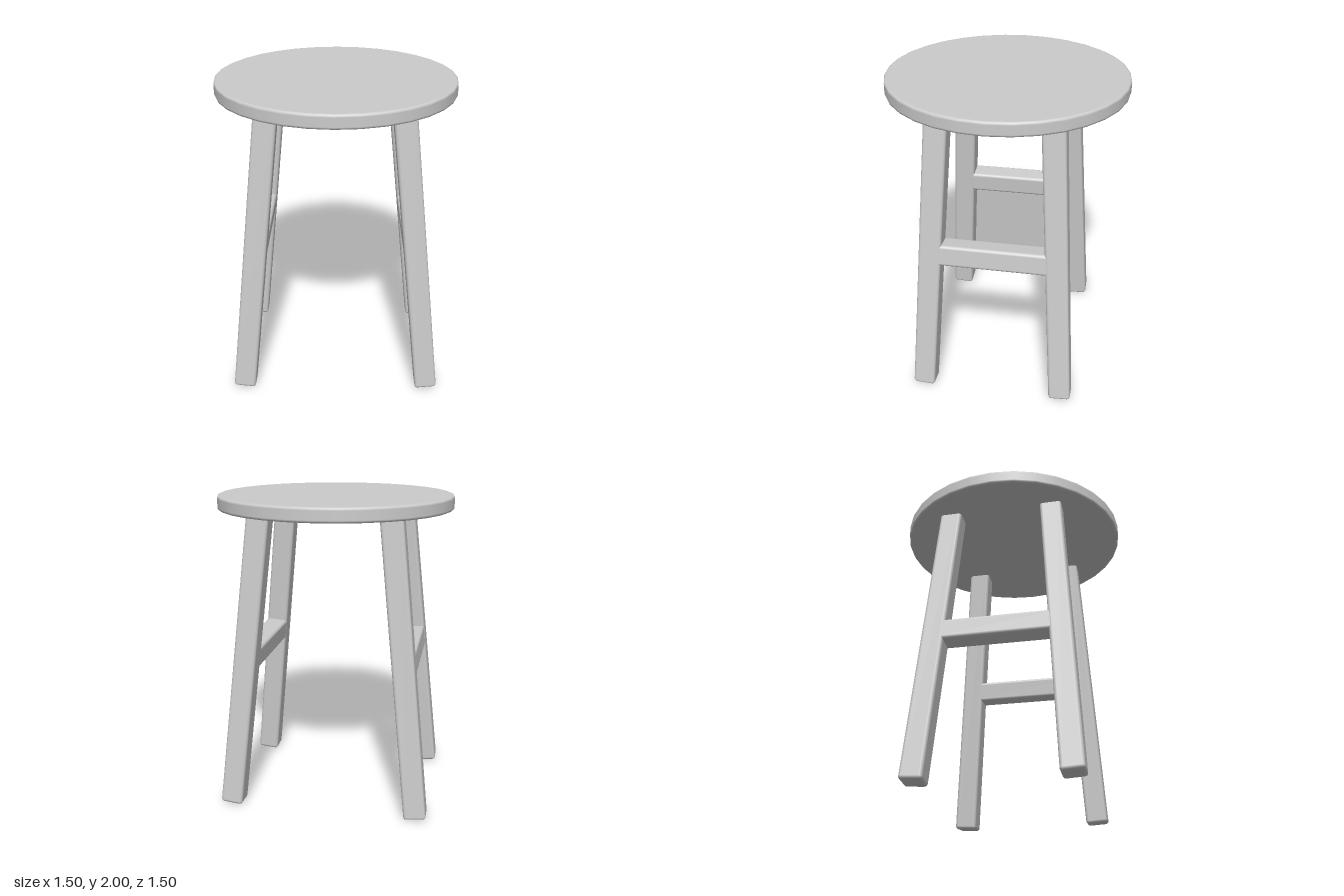
import * as THREE from 'three';
import { RoundedBoxGeometry } from 'three/addons/geometries/RoundedBoxGeometry.js';

export function createModel() {
  const stool = new THREE.Group();
  stool.name = 'stool';
  const material = new THREE.MeshStandardMaterial({ color: 0xcccccc });
  const add = (name, geometry) => {
    const mesh = new THREE.Mesh(geometry, material);
    mesh.name = name;
    stool.add(mesh);
    return mesh;
  };

  // Round seat with a finely softened rim
  const R = 0.752, top = 2, bottom = 1.912, b = 0.012;
  const profile = [
    [0, bottom], [R - b - 0.004, bottom], [R - b, bottom], [R - b * 0.3, bottom + b * 0.3],
    [R, bottom + b], [R, bottom + b + 0.004], [R, top - b - 0.004], [R, top - b],
    [R - b * 0.3, top - b * 0.3], [R - b, top], [R - b - 0.004, top], [0, top],
  ].map(([x, y]) => new THREE.Vector2(x, y));
  add('seat', new THREE.LatheGeometry(profile, 32));

  // Splayed square legs, running up into the seat
  const tiltX = 0.105, tiltZ = 0.061, width = 0.142;
  const foot = new THREE.Vector3(0.606, 0.0085, 0.457);
  const legLength = 1.95;
  const legGeometry = new RoundedBoxGeometry(width, legLength, width, 3, 0.02);
  legGeometry.translate(0, legLength / 2, 0);
  for (const sx of [-1, 1]) {
    for (const sz of [-1, 1]) {
      const leg = add(`${sz > 0 ? 'front' : 'back'}${sx > 0 ? 'Left' : 'Right'}Leg`, legGeometry);
      leg.position.set(sx * foot.x, foot.y, sz * foot.z);
      leg.rotation.set(-sz * tiltZ, 0, sx * tiltX);
    }
  }

  // Side stretchers, leaning with the legs
  const stretcherY = 0.985;
  const stretcherGeometry = new RoundedBoxGeometry(0.137, 0.14, 0.76, 3, 0.02);
  for (const sx of [-1, 1]) {
    const stretcher = add(sx > 0 ? 'leftStretcher' : 'rightStretcher', stretcherGeometry);
    stretcher.position.set(sx * (foot.x - Math.tan(tiltX) * stretcherY), stretcherY, 0);
    stretcher.rotation.z = sx * tiltX;
  }

  return stool;
}
